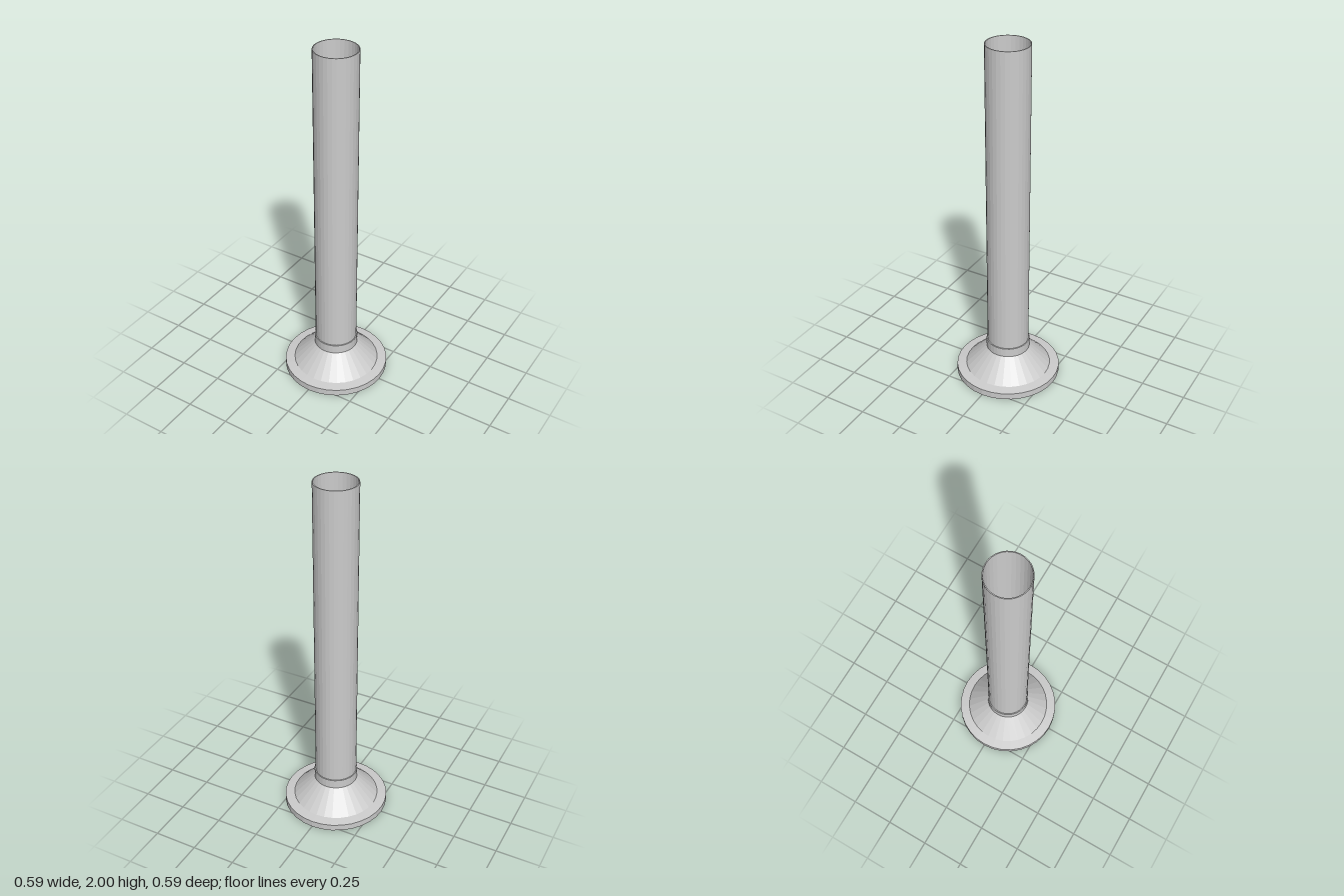
import * as THREE from 'three';

const SIDES = 32;

export function createModel() {
  const model = new THREE.Group();
  const material = new THREE.MeshStandardMaterial({ color: 0xcccccc, flatShading: true });

  // Turned part from [radius, height] pairs, running up the outside
  const turned = (name, profile) => {
    const points = profile.map(([r, y]) => new THREE.Vector2(r, y));
    const mesh = new THREE.Mesh(new THREE.LatheGeometry(points, SIDES), material);
    mesh.name = name;
    model.add(mesh);
  };

  // Round foot plate with a slightly sloping top
  turned('basePlate', [[0, 0], [0.297, 0], [0.297, 0.038], [0.243, 0.045]]);

  // Conical flare, closed on top to form the floor of the tube
  turned('flare', [[0.243, 0.045], [0.124, 0.167], [0, 0.167]]);

  // Short sleeve around the foot of the tube
  turned('collar', [[0.124, 0.167], [0.124, 0.22], [0.118, 0.22]]);

  // Tall thin-walled tube, open at the top
  turned('tube', [[0.118, 0.167], [0.118, 2], [0.113, 2], [0.113, 0.167]]);

  return model;
}
